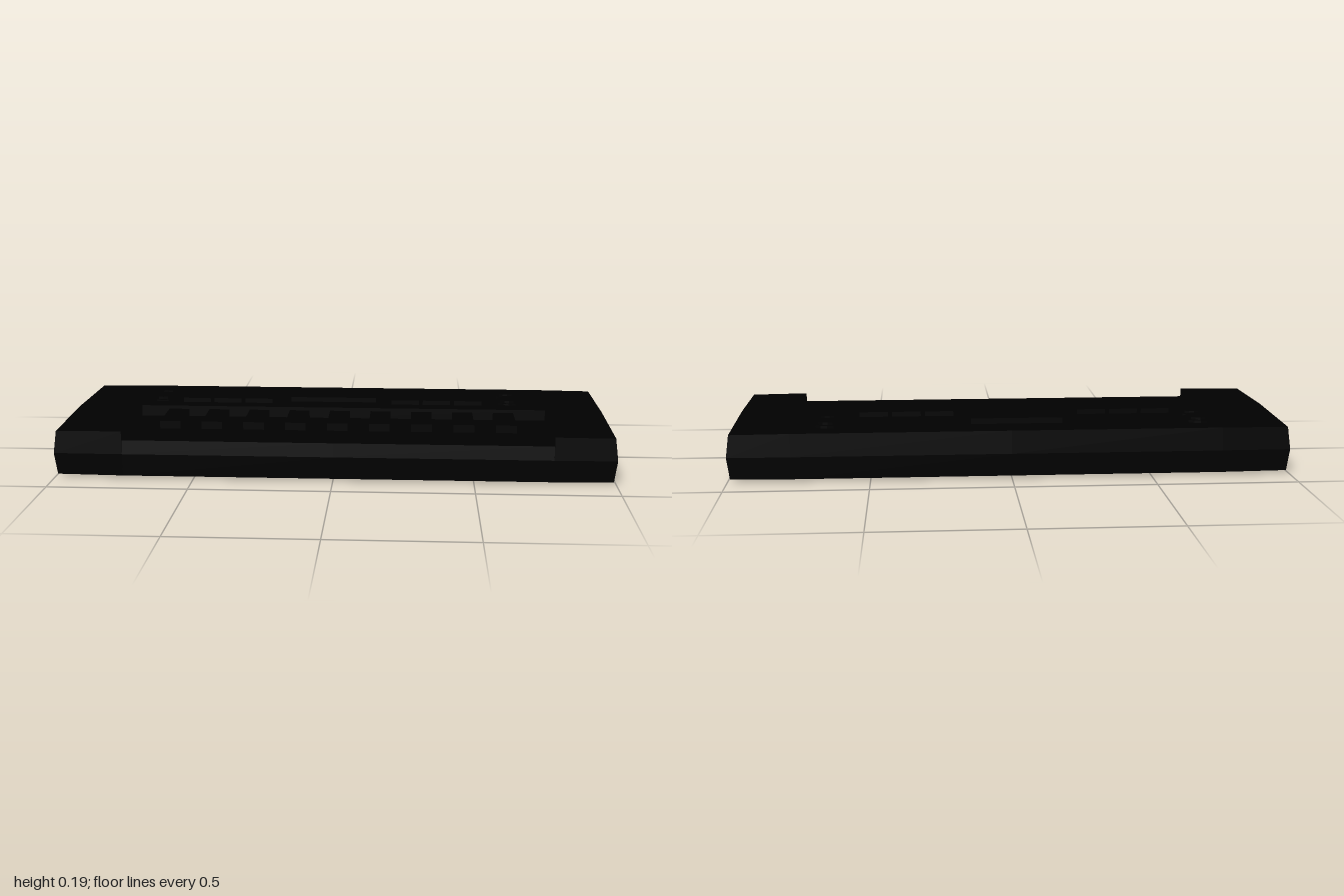
import * as THREE from 'three';

const black = new THREE.MeshStandardMaterial({ color: 0x000000, flatShading: true });

// Key well limits and heights
const WELL = { left: -0.755, right: 0.78, back: 0.005, floor: 0.14 };

// Height of the gently crowned top panel
const topAt = z => 0.18 - 0.02 * Math.abs(z);

// Box with bulging sides and a well sunk into the front of its top
function caseGeometry() {
  const xs = [-0.99, WELL.left, WELL.left + 0.001, 0, WELL.right - 0.001, WELL.right, 0.99];
  const zs = [-0.377, WELL.back - 0.001, WELL.back, 0.2, 0.377];
  const nx = xs.length - 1, nz = zs.length - 1;
  const geo = new THREE.BoxGeometry(nx, 2, nz, nx, 2, nz);
  const p = geo.attributes.position;
  for (let i = 0; i < p.count; i++) {
    const ix = Math.round(p.getX(i) + nx / 2);
    const iz = Math.round(p.getZ(i) + nz / 2);
    const level = Math.round(p.getY(i));
    let x = xs[ix], z = zs[iz], y = 0.09;
    const end = ix === 0 || ix === nx;
    const side = iz === 0 || iz === nz;
    if (level === 0) {
      if (end) x += Math.sign(x) * 0.01;
      if (side) z += Math.sign(z) * 0.006;
    } else if (level < 0) {
      y = 0.025 * Math.abs(z) + (end ? 0.002 : 0);
    } else {
      const inWell = ix >= 2 && ix <= nx - 2 && iz >= 2;
      y = inWell ? WELL.floor : topAt(z) - (end ? 0.002 : 0);
    }
    if (end && side) z -= Math.sign(z) * 0.003;
    p.setXYZ(i, x, y, z);
  }
  geo.computeVertexNormals();
  return geo;
}

export function createModel() {
  const model = new THREE.Group();
  const add = (name, geo, x = 0, y = 0, z = 0) => {
    const mesh = new THREE.Mesh(geo, black);
    mesh.name = name;
    mesh.position.set(x, y, z);
    model.add(mesh);
  };
  // Block given by its limits
  const block = (name, x0, x1, y0, y1, z0, z1) =>
    add(name, new THREE.BoxGeometry(x1 - x0, y1 - y0, z1 - z0),
      (x0 + x1) / 2, (y0 + y1) / 2, (z0 + z1) / 2);

  add('case', caseGeometry());

  // Raised keys along the back of the well
  for (let i = 0; i < 9; i++) {
    const x = -0.61 + i * 0.154;
    block('raisedKey', x - 0.038, x + 0.038, 0.135, 0.168, WELL.back, 0.2);
  }

  // Display
  block('display', -0.19, 0.14, 0.17, 0.195, -0.268, -0.1);

  // Three buttons on each side of the display
  for (const start of [-0.605, 0.2]) {
    for (let i = 0; i < 3; i++) {
      const x = start + i * 0.12;
      block('button', x, x + 0.105, 0.17, 0.195, -0.13, -0.066);
    }
  }

  // Two stepped dials at each end
  for (const x of [-0.69, 0.652]) {
    for (const z of [-0.245, -0.135]) {
      add('dialBase', new THREE.CylinderGeometry(0.06, 0.06, 0.013, 16), x, 0.1765, z);
      add('dialCap', new THREE.CylinderGeometry(0.045, 0.045, 0.02, 16), x, 0.182, z);
    }
  }
  return model;
}
